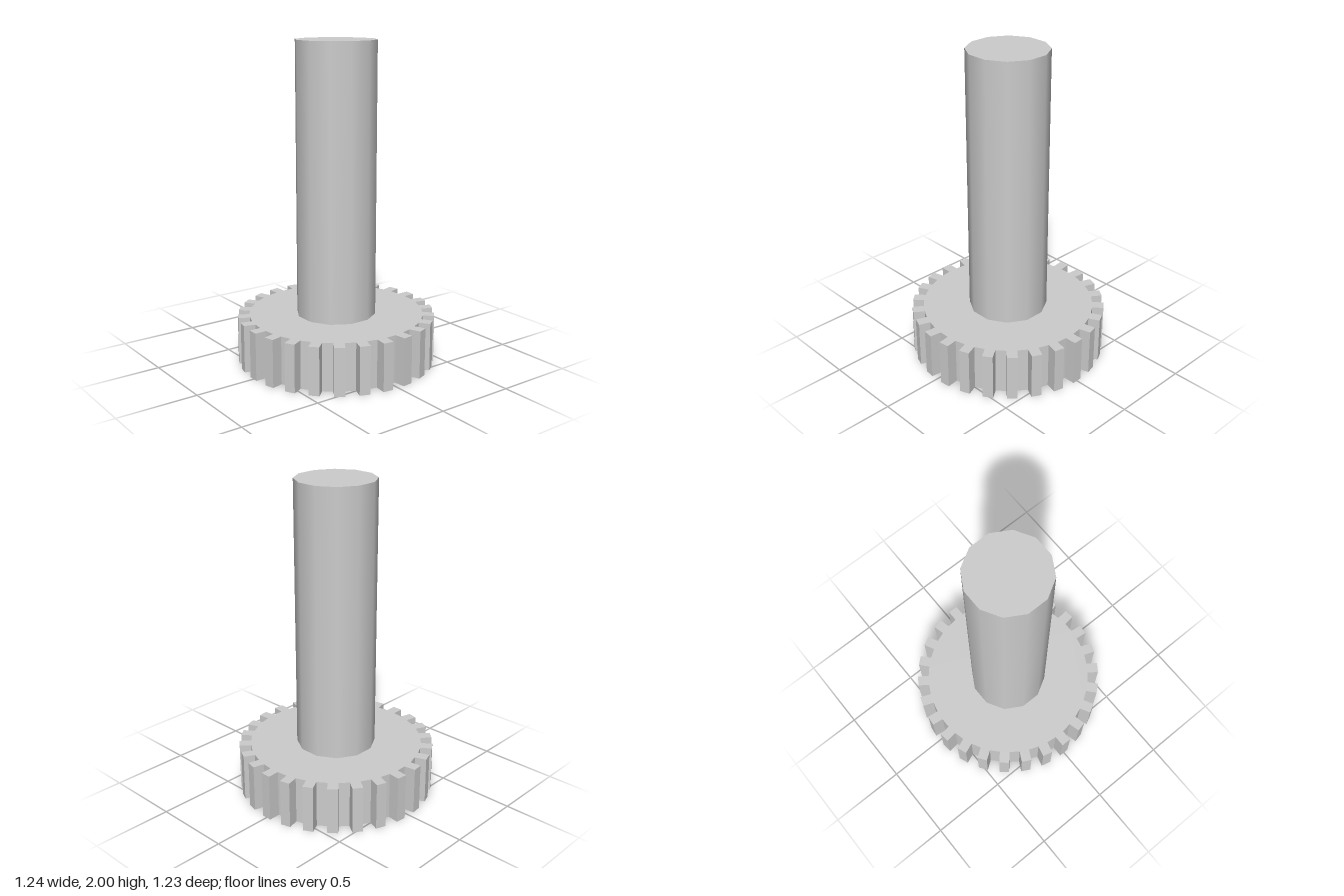
import * as THREE from 'three';

const TEETH = 26;
const ROOT_RADIUS = 0.546;
const TIP_X = 0.618;
const HALF_TOOTH = 0.0325;
const GEAR_HEIGHT = 0.3;

// Gear outline: parallel-sided teeth joined by straight valleys
function gearShape() {
  const rootX = Math.sqrt(ROOT_RADIUS ** 2 - HALF_TOOTH ** 2);
  const tooth = [
    [rootX, -HALF_TOOTH], [TIP_X, -HALF_TOOTH],
    [TIP_X, HALF_TOOTH], [rootX, HALF_TOOTH],
  ];
  const points = [];
  for (let i = 0; i < TEETH; i++) {
    const angle = (i / TEETH) * Math.PI * 2;
    for (const [x, y] of tooth) {
      points.push(new THREE.Vector2(x, y).rotateAround(new THREE.Vector2(), angle));
    }
  }
  return new THREE.Shape(points);
}

export function createModel() {
  const group = new THREE.Group();
  group.name = 'pinionGear';

  const steel = new THREE.MeshStandardMaterial({ color: 0xcccccc });
  steel.name = 'greySteel';

  // Toothed wheel, lying flat on the ground
  const gearGeometry = new THREE.ExtrudeGeometry(gearShape(), { depth: GEAR_HEIGHT, bevelEnabled: false });
  gearGeometry.rotateX(-Math.PI / 2);
  const gear = new THREE.Mesh(gearGeometry, steel);
  gear.name = 'gearWheel';
  group.add(gear);

  // Twelve-sided, smooth-shaded shaft with flats facing the axes
  const shaftHeight = 2 - GEAR_HEIGHT;
  const shaftGeometry = new THREE.CylinderGeometry(0.249, 0.249, shaftHeight, 12, 1);
  shaftGeometry.rotateY(Math.PI / 12);
  const shaft = new THREE.Mesh(shaftGeometry, steel);
  shaft.name = 'shaft';
  shaft.position.y = GEAR_HEIGHT + shaftHeight / 2;
  group.add(shaft);

  return group;
}
